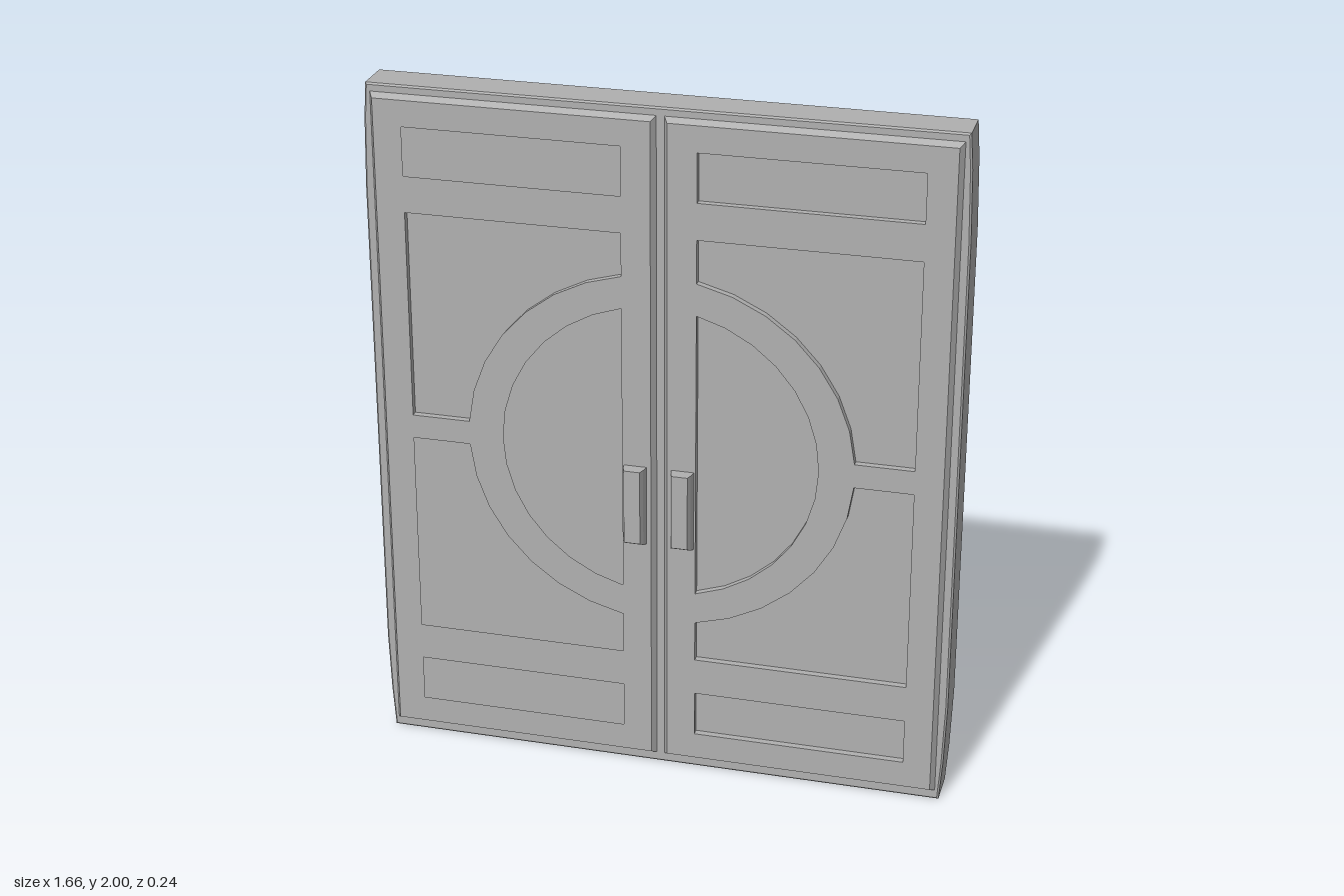
import * as THREE from 'three';

const steel = new THREE.MeshStandardMaterial({ color: 0xb0b0b0 });
steel.name = 'grey';
steel.flatShading = true;

const MID = 1.003; // height of the ring's centre
const IN = 0.105, OUT = 0.715; // sides of the sunken panels
const LEAF = { x0: 0.01, x1: 0.808, y0: 0.028, y1: 1.978 };

const rect = (x0, x1, y0, y1) => [[x0, y0], [x1, y0], [x1, y1], [x0, y1]];

// Points of an elliptical arc around the ring's centre
function arc(rx, ry, a0, a1, n) {
  const pts = [];
  for (let i = 0; i <= n; i++) {
    const a = a0 + (a1 - a0) * i / n;
    pts.push([rx * Math.cos(a), MID + ry * Math.sin(a)]);
  }
  return pts;
}

// Sunken panels of one door leaf
function panels() {
  const rx = 0.55, ry = 0.527;
  const top = Math.acos(IN / rx), side = Math.asin(0.035 / ry);
  const inner = Math.acos(IN / 0.45);
  return [
    rect(IN, OUT, 1.75, 1.89),
    rect(IN, OUT, 0.12, 0.255),
    [...arc(rx, ry, side, top, 7), [IN, 1.645], [OUT, 1.645], [OUT, MID + 0.035]],
    [...arc(rx, ry, -side, -top, 7), [IN, 0.365], [OUT, 0.365], [OUT, MID - 0.035]],
    arc(0.45, 0.436, -inner, inner, 14),
  ];
}

// Raised leaf plate with panel openings and sloped outer edges
function leafGeometry(s) {
  const vec = pts => pts.map(([x, y]) => new THREE.Vector2(x * s, y));
  const shape = new THREE.Shape(vec(rect(LEAF.x0, LEAF.x1, LEAF.y0, LEAF.y1)));
  shape.holes = panels().map(p => new THREE.Path(vec(p)));
  const depth = 0.022, inset = 0.013;
  const geo = new THREE.ExtrudeGeometry(shape, { depth, bevelEnabled: false });
  const p = geo.attributes.position;
  for (let i = 0; i < p.count; i++) {
    if (p.getZ(i) < depth / 2) continue;
    const x = p.getX(i) * s, y = p.getY(i);
    if (x < LEAF.x0 + 0.001) p.setX(i, s * (x + inset));
    if (x > LEAF.x1 - 0.001) p.setX(i, s * (x - inset));
    if (y < LEAF.y0 + 0.001) p.setY(i, y + inset);
    if (y > LEAF.y1 - 0.001) p.setY(i, y - inset);
  }
  geo.computeVertexNormals();
  return geo;
}

// Handle block that narrows away from the door
function handleGeometry() {
  const geo = new THREE.BoxGeometry(0.066, 0.24, 0.042, 1, 1, 2);
  const p = geo.attributes.position;
  for (let i = 0; i < p.count; i++) {
    const z = p.getZ(i);
    if (z > -0.02) {
      p.setX(i, p.getX(i) * (z > 0.01 ? 0.7 : 0.86));
      if (p.getY(i) < 0) p.setY(i, z > 0.01 ? -0.102 : -0.112);
    }
    if (Math.abs(z) < 0.001) p.setZ(i, 0.004);
  }
  geo.computeVertexNormals();
  return geo;
}

// Slab with slightly drawn-in corners
function slabGeometry() {
  const half = [[0.818, 0], [0.826, 0.12], [0.832, 0.3], [0.832, 1.7], [0.827, 1.9], [0.82, 2]];
  const outline = [...half, ...half.map(([x, y]) => [-x, y]).reverse()];
  const shape = new THREE.Shape(outline.map(([x, y]) => new THREE.Vector2(x, y)));
  const geo = new THREE.ExtrudeGeometry(shape, {
    depth: 0.11, bevelThickness: 0.005, bevelSize: 0.005, bevelOffset: -0.005, bevelSegments: 1,
  });
  return geo.translate(0, 0, -0.055);
}

function add(parent, name, geo, x = 0, y = 0, z = 0) {
  const mesh = new THREE.Mesh(geo, steel);
  mesh.name = name;
  mesh.position.set(x, y, z);
  parent.add(mesh);
}

export function createModel() {
  const model = new THREE.Group();
  model.name = 'doubleDoor';
  add(model, 'doorSlab', slabGeometry());

  // The same pair of leaves and handles on both sides
  for (const name of ['frontSide', 'backSide']) {
    const face = new THREE.Group();
    face.name = name;
    for (const s of [1, -1]) {
      const label = s > 0 ? 'left' : 'right';
      add(face, label + 'Leaf', leafGeometry(s), 0, 0, 0.058);
      add(face, label + 'Handle', handleGeometry(), s * 0.068, 0.838, 0.097);
    }
    if (name === 'backSide') face.rotation.y = Math.PI;
    model.add(face);
  }
  return model;
}
